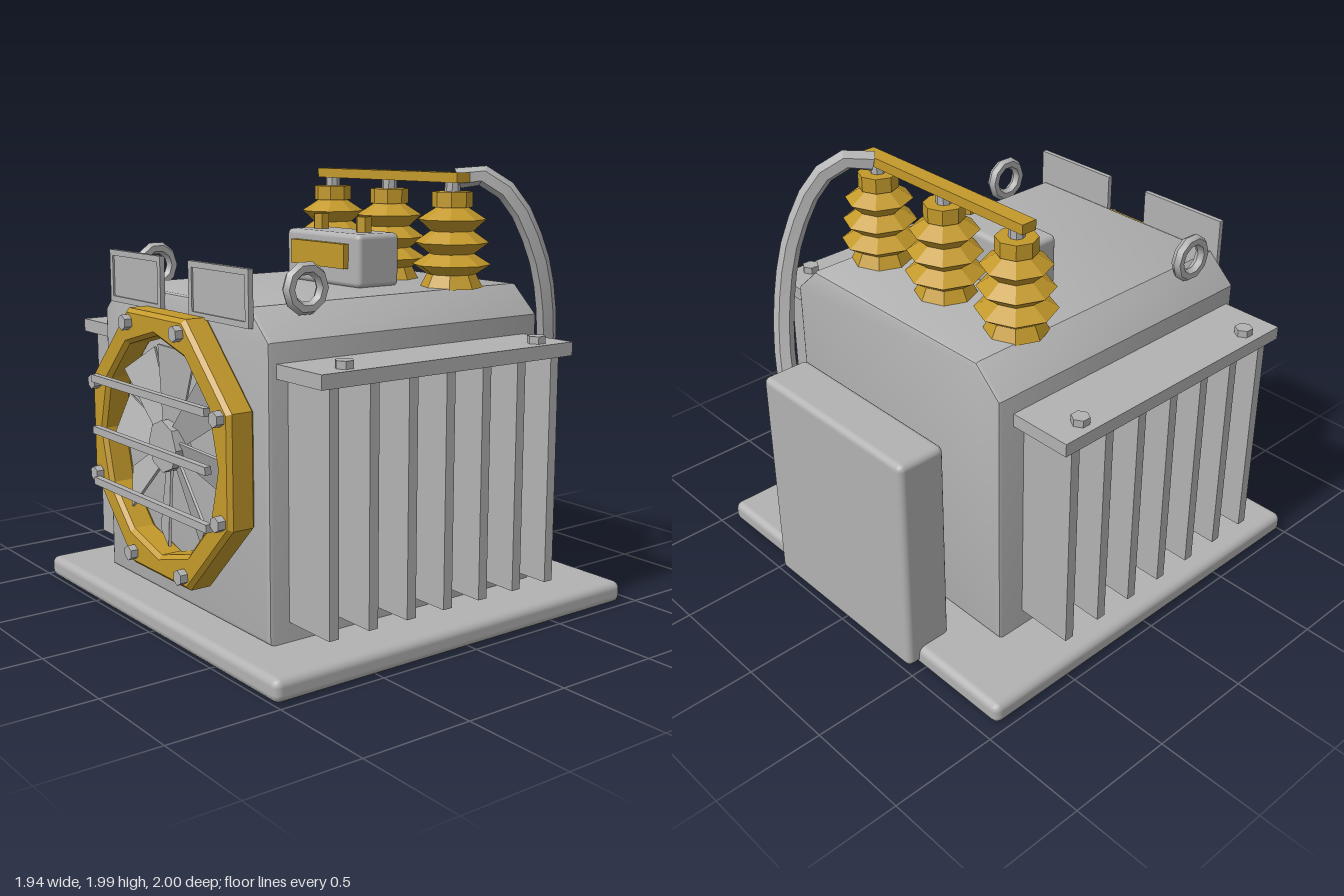
import * as THREE from 'three';
import { toCreasedNormals } from 'three/addons/utils/BufferGeometryUtils.js';
import { RoundedBoxGeometry } from 'three/addons/geometries/RoundedBoxGeometry.js';

export function createModel() {
  const model = new THREE.Group();
  model.name = 'transformer';
  const steel = new THREE.MeshStandardMaterial({ color: 0xb2b2b2 });
  steel.name = 'grey steel';
  const brass = new THREE.MeshStandardMaterial({ color: 0xc3992b });
  brass.name = 'golden brass';

  const add = (name, geo, mat, x = 0, y = 0, z = 0, parent = model) => {
    const mesh = new THREE.Mesh(geo, mat);
    mesh.name = name;
    mesh.position.set(x, y, z);
    parent.add(mesh);
    return mesh;
  };
  const crisp = (geo, angle = 0.5) => toCreasedNormals(geo, angle);
  // box given by its limits
  const box = (name, mat, [x0, x1], [y0, y1], [z0, z1], round = 0) => {
    const s = [x1 - x0, y1 - y0, z1 - z0];
    const geo = round ? new RoundedBoxGeometry(...s, 2, round) : new THREE.BoxGeometry(...s);
    return add(name, geo, mat, (x0 + x1) / 2, (y0 + y1) / 2, (z0 + z1) / 2);
  };
  const polygon = (r, sides, turn = 0) => Array.from({ length: sides }, (_, i) => {
    const a = turn + (i / sides) * Math.PI * 2;
    return new THREE.Vector2(r * Math.cos(a), r * Math.sin(a));
  });
  const prism = (r, h, sides = 6) => crisp(new THREE.CylinderGeometry(r, r, h, sides));
  const v = (x, y, z) => new THREE.Vector3(x, y, z);

  // base plate and rear cabinet
  box('basePlate', steel, [-0.97, 0.97], [0, 0.1], [-0.935, 1.0], 0.035);
  box('rearCabinet', steel, [-0.475, 0.475], [0.02, 1.09], [-0.995, -0.76], 0.03);

  // tank with chamfered shoulders
  const b = 0.02;
  const tankShape = new THREE.Shape([
    [-0.65, 0.12], [0.65, 0.12], [0.65, 1.325], [0.525, 1.44], [-0.525, 1.44], [-0.65, 1.325],
  ].map(([x, y]) => new THREE.Vector2(x, y)));
  add('tank', crisp(new THREE.ExtrudeGeometry(tankShape, {
    depth: 1.42, bevelEnabled: true, bevelSize: b, bevelThickness: b, bevelSegments: 2,
  })), steel, 0, 0, -0.62);

  // radiators on both sides
  for (const side of [-1, 1]) {
    const span = (a, c) => (side > 0 ? [a, c] : [-c, -a]);
    box('radiatorTop', steel, span(0.6, 0.965), [1.19, 1.25], [-0.56, 0.78]);
    for (let i = 0; i < 7; i++) {
      const z = 0.703 - i * 0.197;
      box('radiatorFin', steel, span(0.6, 0.94), [0.185, 1.2], [z - 0.023, z + 0.023]);
    }
    for (const z of [-0.41, 0.62]) add('radiatorBolt', prism(0.04, 0.04), steel, side * 0.895, 1.262, z);

    // lifting eye
    const eye = crisp(new THREE.TorusGeometry(0.083, 0.028, 6, 10), 0.8).rotateY(Math.PI / 2);
    add('liftingEye', eye, steel, side * 0.595, 1.525, 0.585);

    // sign plate with raised rim
    const c = side * 0.342;
    box('signPlate', steel, [c - 0.225, c + 0.225], [1.38, 1.615], [0.817, 0.832]);
    for (const s of [-1, 1]) {
      const x = c + s * 0.213;
      box('signRimSide', steel, [x - 0.013, x + 0.013], [1.38, 1.615], [0.817, 0.84]);
    }
    for (const y of [1.393, 1.602]) {
      box('signRimEdge', steel, [c - 0.2, c + 0.2], [y - 0.013, y + 0.013], [0.817, 0.84]);
    }
  }

  // fan assembly on the front
  const fan = new THREE.Group();
  fan.name = 'fan';
  fan.position.y = 0.815;
  model.add(fan);
  const bevel = 0.018;
  const corner = (0.575 - bevel) / Math.cos(Math.PI / 8);
  const ringShape = new THREE.Shape(polygon(corner, 8, Math.PI / 8));
  ringShape.holes.push(new THREE.Path(polygon(0.48 + bevel, 12).reverse()));
  add('fanRing', crisp(new THREE.ExtrudeGeometry(ringShape, {
    depth: 0.13 - 2 * bevel, bevelEnabled: true, bevelSize: bevel, bevelThickness: bevel, bevelSegments: 1,
  }), 0.3), brass, 0, 0, 0.815 + bevel, fan);
  add('fanHub', prism(0.115, 0.08, 8).rotateX(Math.PI / 2), steel, 0, 0, 0.875, fan);
  const bladeShape = new THREE.Shape([
    [-0.045, 0.07], [0.045, 0.07], [0.1, 0.43], [-0.1, 0.43],
  ].map(([x, y]) => new THREE.Vector2(x, y)));
  for (let i = 0; i < 8; i++) {
    const geo = new THREE.ExtrudeGeometry(bladeShape, { depth: 0.012, bevelEnabled: false });
    geo.translate(0, 0, -0.006).rotateY(0.35).rotateZ(-0.15 + i * Math.PI / 4);
    add('fanBlade', geo, steel, 0, 0, 0.87, fan);
  }
  for (const p of polygon(0.558, 8, Math.PI / 8)) {
    add('fanBolt', prism(0.034, 0.05).rotateX(Math.PI / 2), steel, p.x, p.y, 0.955, fan);
  }
  for (const y of [-0.237, 0, 0.237]) {
    add('guardBar', new THREE.BoxGeometry(0.96, 0.034, 0.03), steel, 0, y, 0.982, fan);
  }

  // control box on top
  box('controlBox', steel, [-0.275, 0.275], [1.455, 1.695], [-0.165, 0.068], 0.025);
  box('controlPanel', brass, [-0.2, 0.2], [1.54, 1.65], [0.05, 0.095]);
  for (const x of [-0.16, 0.16]) add('controlKnob', prism(0.038, 0.09), brass, x, 1.72, -0.05);

  // insulators with skirts
  const profile = [
    [0, 1.455], [0.14, 1.455], [0.11, 1.515], [0.176, 1.558], [0.1, 1.605], [0.166, 1.655], [0.095, 1.705],
    [0.152, 1.757], [0.07, 1.81], [0.09, 1.81], [0.09, 1.878], [0, 1.878],
  ].map(([r, y]) => new THREE.Vector2(r, y));
  const busZ = -0.328;
  for (const x of [-0.44, 0, 0.44]) {
    add('insulator', crisp(new THREE.LatheGeometry(profile, 8), 0.3), brass, x, 0, busZ);
    add('terminalStud', prism(0.035, 0.06, 8), steel, x, 1.9, busZ);
  }
  box('busBar', brass, [-0.51, 0.51], [1.918, 1.962], [busZ - 0.038, busZ + 0.038]);

  // cable from the bus bar to the rear cabinet
  const path = new THREE.CatmullRomCurve3([
    v(0.44, 1.935, -0.35), v(0.49, 1.955, -0.42), v(0.585, 1.87, -0.53), v(0.635, 1.62, -0.66),
    v(0.62, 1.37, -0.745), v(0.55, 1.08, -0.82), v(0.43, 0.78, -0.87),
  ]);
  add('cable', crisp(new THREE.TubeGeometry(path, 12, 0.046, 6)), steel);

  return model;
}
